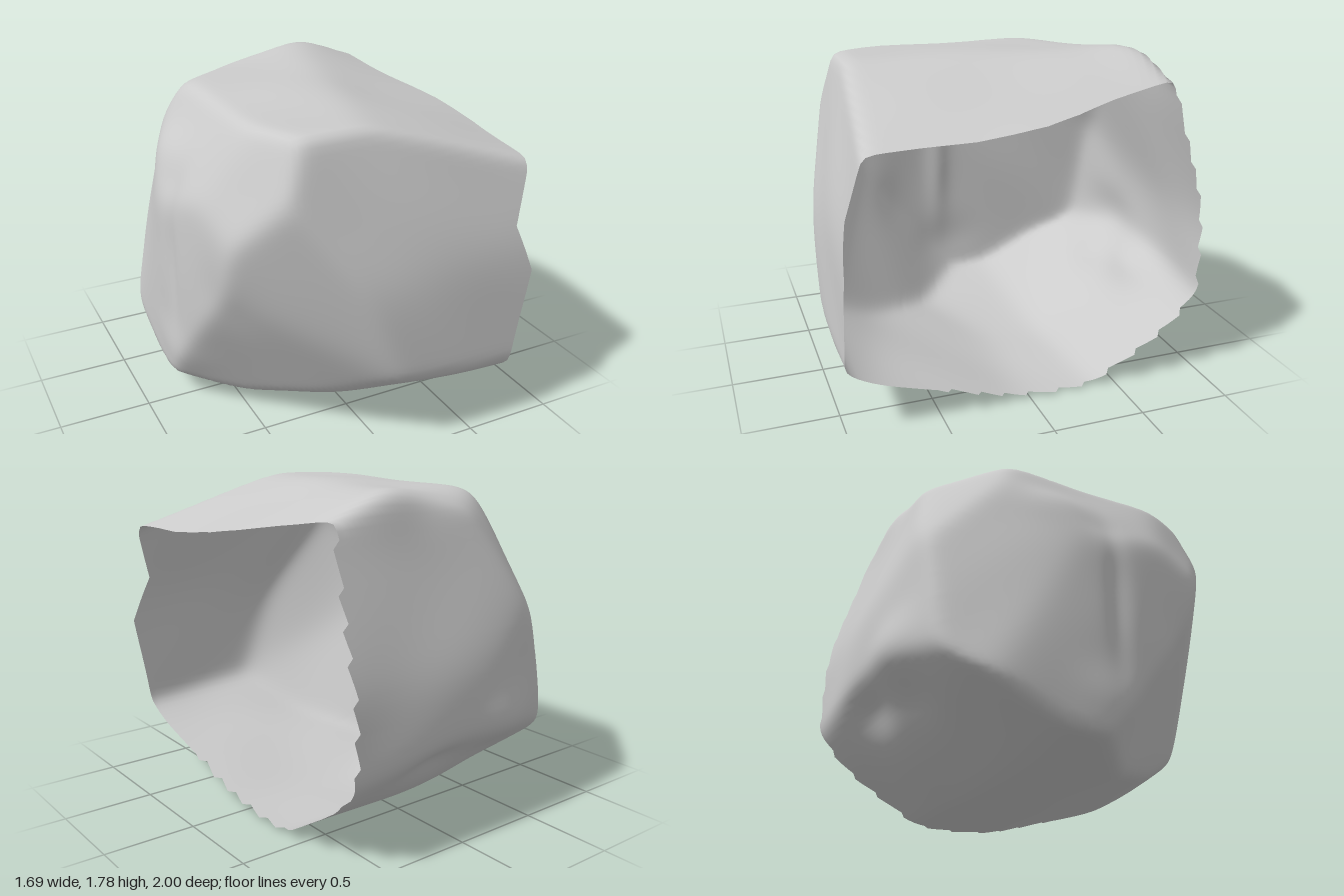
import * as THREE from 'three';
import { mergeVertices } from 'three/addons/utils/BufferGeometryUtils.js';

const CENTRE = new THREE.Vector3(0, 0.9, 0);

// A facet of the rock: outward normal and a point on it
const facet = (n, p) => {
  const normal = new THREE.Vector3(...n).normalize();
  return { normal, h: normal.dot(new THREE.Vector3(...p).sub(CENTRE)) };
};
const FACETS = [
  facet([-0.06, 1, 0], [-0.1, 1.755, 0]),          // top
  facet([0.3, 1, 0.085], [0, 1.73, 0.8]),          // top, sloping to the opening
  facet([-0.22, 1, -0.35], [-0.35, 1.66, -0.72]),  // top, falling to the back left
  facet([-0.85, 0.52, 0], [-0.69, 1.49, 0]),       // left shoulder
  facet([-0.55, 0.53, -0.65], [-0.67, 1.23, -0.73]), // back left top corner
  facet([-0.84, 0.39, 0.38], [-0.5, 1.68, 0.65]),  // front left top corner
  facet([-1, 0, 0], [-0.845, 0.8, 0]),             // left
  facet([-1, 0.2, -0.35], [-0.74, 0.5, -0.84]),    // left, towards the back
  facet([-1, 0, 0.2], [-0.81, 0.6, 0.25]),         // left, towards the front
  facet([-0.03, 0.27, 1], [0, 1.25, 0.92]),        // front upper
  facet([0, 0.02, 1], [0.3, 0.6, 1]),              // front lower
  facet([-0.56, -0.18, 0.83], [0, 0.5, 0.995]),    // front left
  facet([-0.62, -0.44, 0.65], [-0.7, 0.59, 0.41]), // front left, undercut
  facet([-0.1, -1, 0.7], [0.1, 0.4, 0.97]),        // underside front edge
  facet([0, -1, 0.32], [0.2, 0.13, 0.42]),         // underside front
  facet([0.04, -1, 0], [0.2, 0, -0.1]),            // underside
  facet([0, -1, -0.6], [0.2, 0.18, -0.65]),        // underside back
  facet([-0.25, -1, -0.5], [-0.7, 0.4, -0.83]),    // underside back left
  facet([-0.1, -1, -1.1], [0.1, 0.42, -0.89]),     // underside back edge
  facet([-0.19, -1, 0], [-0.5, 0.08, 0]),          // underside left
  facet([0, 0.28, -1], [0, 1.2, -0.9]),            // back upper
  facet([0, 0, -1], [0, 0.6, -0.985]),             // back
  facet([-0.27, 0, -1], [-0.5, 0.9, -0.92]),       // back left
];
const SHARPNESS = 46;

// Soft hollows (negative) and lumps: place, spread per axis, depth
const BUMPS = [
  [[0.1, 0.42, -0.92], [0.22, 0.1, 0.25], -0.04],
  [[-0.35, 0.6, -0.95], [0.2, 0.14, 0.3], 0.03],
  [[-0.3, 0.35, -0.85], [0.15, 0.1, 0.2], -0.02],
  [[-0.85, 0.9, 0.06], [0.3, 0.35, 0.07], -0.02],
  [[-0.72, 0.85, 0.5], [0.2, 0.2, 0.15], -0.015],
  [[-0.78, 0.35, 0], [0.2, 0.14, 0.2], 0.02],
  [[0.1, 1.76, -0.74], [0.2, 0.2, 0.06], -0.02],
  [[0.3, 1.75, -0.7], [0.28, 0.2, 0.16], 0.035],
  [[-0.75, 1.3, 0], [0.2, 0.12, 0.15], -0.02],
  [[-0.72, 1.42, -0.25], [0.2, 0.12, 0.2], 0.02],
];

// Rounded intersection of the facets along a direction, then the bumps
function surface(theta, phi, out) {
  out.set(-Math.cos(theta), Math.sin(theta) * Math.cos(phi), Math.sin(theta) * Math.sin(phi));
  let sum = 1e-12;
  for (const { normal, h } of FACETS) sum += Math.max(0, normal.dot(out) / h) ** SHARPNESS;
  const r = Math.min(3, sum ** (-1 / SHARPNESS));
  const p = out.clone().multiplyScalar(r).add(CENTRE);
  let swell = 0.006 * Math.sin(7 * p.x + 5 * p.y) * Math.sin(6 * p.z - 3 * p.y);
  for (const [c, s, depth] of BUMPS) {
    const d = ((p.x - c[0]) / s[0]) ** 2 + ((p.y - c[1]) / s[1]) ** 2 + ((p.z - c[2]) / s[2]) ** 2;
    swell += depth * Math.exp(-d);
  }
  return out.multiplyScalar(r + swell).add(CENTRE);
}

// Reach of the broken rim every 15 degrees, from the top round by the front
const RIM = [0.83, 0.84, 0.84, 0.81, 0.79, 0.71, 0.81, 0.76, 0.71, 0.69, 0.68, 0.67,
  0.66, 0.66, 0.66, 0.67, 0.67, 0.67, 0.68, 0.68, 0.67, 0.64, 0.7, 0.78];
function rimX(phi) {
  const t = (phi / (2 * Math.PI)) * 24;
  const i = Math.floor(t) % 24;
  const x = THREE.MathUtils.lerp(RIM[i], RIM[(i + 1) % 24], t - Math.floor(t));
  const jagged = t > 9.5 && t < 21;
  return x + (jagged ? 0.045 * ((t * 1.5) % 1) - 0.022 : 0);
}

// Angle from the closed left end at which the wall reaches the rim
function rimTheta(phi) {
  const p = new THREE.Vector3(), goal = rimX(phi);
  let lo = 0.5, hi = 2.8;
  for (let k = 0; k < 24; k++) {
    const mid = (lo + hi) / 2;
    if (surface(mid, phi, p).x < goal) lo = mid; else hi = mid;
  }
  return lo;
}

function shellGeometry(around = 192, along = 80) {
  const g = new THREE.PlaneGeometry(1, 1, around, along);
  const pos = g.attributes.position, p = new THREE.Vector3();
  const ends = Array.from({ length: around }, (_, j) => rimTheta((j / around) * 2 * Math.PI));
  for (let i = 0; i < pos.count; i++) {
    const j = Math.round((pos.getX(i) + 0.5) * around) % around;
    const v = pos.getY(i) + 0.5;
    surface(v * ends[j], (j / around) * 2 * Math.PI, p);
    pos.setXYZ(i, p.x, p.y, p.z);
  }
  // Weld the seam so the shading runs across it
  g.deleteAttribute('uv');
  g.deleteAttribute('normal');
  const welded = mergeVertices(g, 1e-5);
  welded.computeVertexNormals();
  return welded;
}

export function createModel() {
  const group = new THREE.Group();
  group.name = 'hollowRock';
  const shell = new THREE.Mesh(shellGeometry(),
    new THREE.MeshStandardMaterial({ color: 0xcccccc, side: THREE.DoubleSide }));
  shell.name = 'rockShell';
  group.add(shell);
  return group;
}
